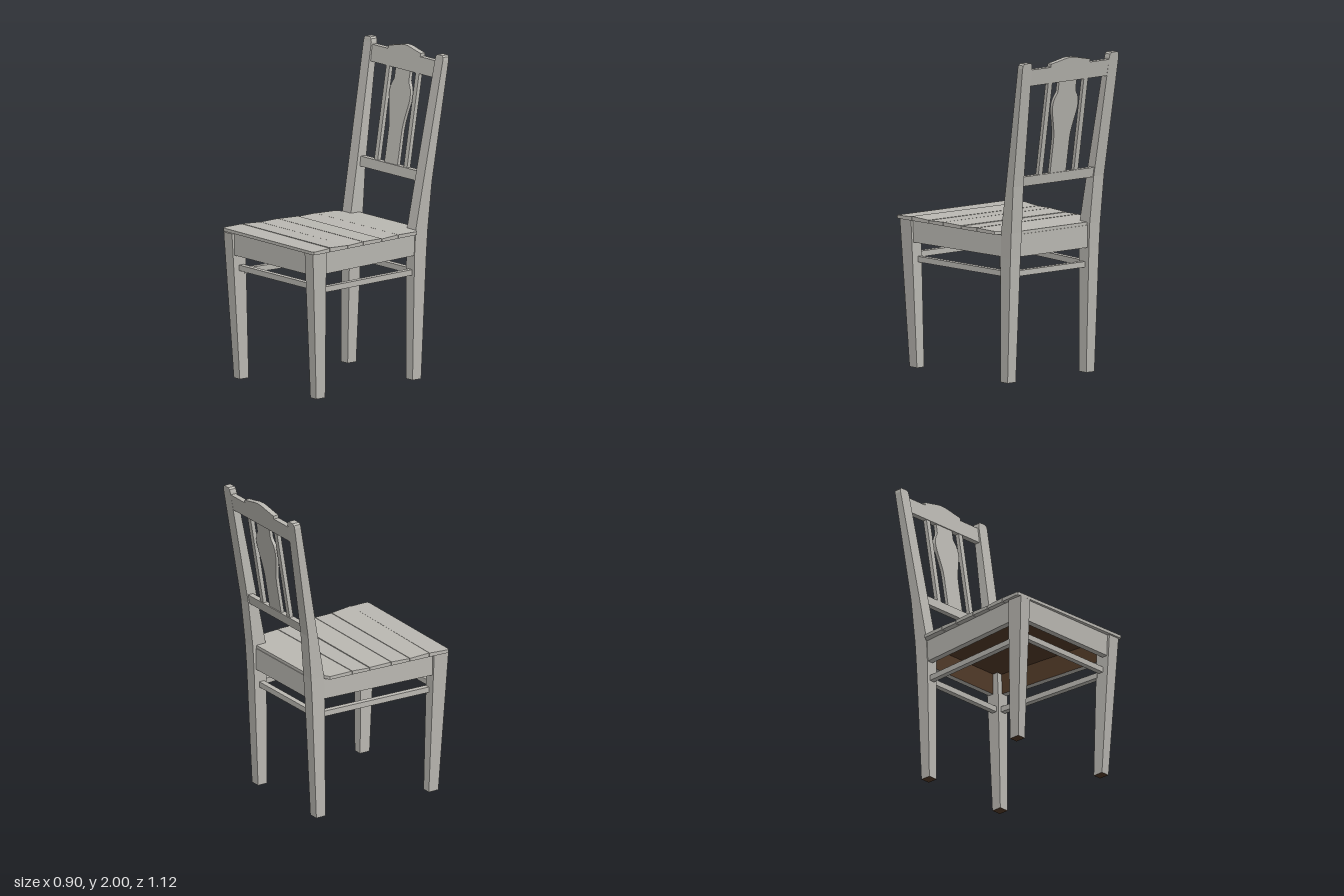
import * as THREE from 'three';
import { toCreasedNormals } from 'three/addons/utils/BufferGeometryUtils.js';

const paint = new THREE.MeshStandardMaterial({ color: 0xbab8b2 });
paint.name = 'greyPaint';
const wood = new THREE.MeshStandardMaterial({ color: 0x523a28 });
wood.name = 'bareWood';

// Joins rings of [x, y, z] corners, anticlockwise from above and listed bottom to top.
// Side number woodSide, and the bottom if woodBase is set, are left as bare wood.
function loft(name, rings, { woodSide = -1, woodBase = false } = {}) {
  const painted = [], bare = [];
  const n = rings[0].length, last = rings[rings.length - 1];
  for (let r = 0; r < rings.length - 1; r++) {
    for (let i = 0; i < n; i++) {
      const j = (i + 1) % n, lo = rings[r], hi = rings[r + 1];
      (i === woodSide ? bare : painted).push(...lo[i], ...lo[j], ...hi[j], ...lo[i], ...hi[j], ...hi[i]);
    }
  }
  for (let i = 1; i < n - 1; i++) {
    painted.push(...last[0], ...last[i], ...last[i + 1]);
    (woodBase ? bare : painted).push(...rings[0][0], ...rings[0][i + 1], ...rings[0][i]);
  }
  const g = new THREE.BufferGeometry();
  g.setAttribute('position', new THREE.Float32BufferAttribute([...painted, ...bare], 3));
  g.addGroup(0, painted.length / 3, 0);
  if (bare.length) g.addGroup(painted.length / 3, bare.length / 3, 1);
  g.computeVertexNormals();
  const mesh = new THREE.Mesh(g, [paint, wood]);
  mesh.name = name;
  return mesh;
}

// Rectangle ring at height y
const rect = (y, x0, x1, z0, z1) => [[x0, y, z1], [x1, y, z1], [x1, y, z0], [x0, y, z0]];
// Same plan outline at two heights
const prism = (plan, y0, y1) => [y0, y1].map((y) => plan.map(([x, z]) => [x, y, z]));
const mirror = (rings) => rings.map((ring) => ring.map(([x, y, z]) => [-x, y, z]).reverse());

// Backrest parts: cut from a flat board, then leaned back
function board(name, points, thickness) {
  const shape = new THREE.Shape(points.map(([x, y]) => new THREE.Vector2(x, y)));
  const g = new THREE.ExtrudeGeometry(shape, { depth: thickness, bevelEnabled: false });
  const p = g.attributes.position;
  for (let i = 0; i < p.count; i++) {
    p.setZ(i, p.getZ(i) - thickness / 2 - 0.415 - (p.getY(i) - 1.215) * 0.164);
  }
  const mesh = new THREE.Mesh(toCreasedNormals(g, 0.5), paint);
  mesh.name = name;
  return mesh;
}
const strip = (x0, x1, y0, y1) => [[x0, y0], [x1, y0], [x1, y1], [x0, y1]];

export function createModel() {
  const chair = new THREE.Group();
  chair.name = 'chair';
  const pair = (name, rings, options) => {
    chair.add(loft('left' + name, rings, options), loft('right' + name, mirror(rings), options));
  };

  // Legs; the back ones run up into the backrest posts
  pair('FrontLeg', [
    rect(0, 0.34, 0.397, 0.425, 0.495),
    rect(0.91, 0.35, 0.43, 0.442, 0.548),
  ], { woodBase: true });
  pair('BackPost', [
    rect(0, 0.28, 0.345, -0.37, -0.303),
    rect(0.77, 0.272, 0.352, -0.405, -0.313),
    rect(0.93, 0.27, 0.354, -0.415, -0.32),
    rect(1.22, 0.279, 0.361, -0.442, -0.373),
    rect(1.965, 0.307, 0.382, -0.556, -0.51),
    rect(1.985, 0.311, 0.379, -0.559, -0.513),
    rect(1.995, 0.323, 0.367, -0.56, -0.516),
  ], { woodBase: true });

  // Aprons under the seat, bare on the inside
  pair('Apron', prism([[0.375, 0.46], [0.415, 0.46], [0.346, -0.33], [0.306, -0.33]], 0.775, 0.913), { woodSide: 3 });
  chair.add(loft('frontApron', prism([[-0.36, 0.53], [0.36, 0.53], [0.36, 0.49], [-0.36, 0.49]], 0.775, 0.913), { woodSide: 2 }));
  chair.add(loft('backApron', prism([[-0.28, -0.355], [0.28, -0.355], [0.28, -0.392], [-0.28, -0.392]], 0.775, 0.913), { woodSide: 0 }));

  // Bare seat underside, seen between the aprons
  chair.add(loft('seatUnderside', prism([[-0.38, 0.5], [0.38, 0.5], [0.31, -0.36], [-0.31, -0.36]], 0.908, 0.914), { woodBase: true }));

  // Stretchers between the legs
  pair('Stretcher', prism([[0.345, 0.45], [0.38, 0.45], [0.33, -0.32], [0.295, -0.32]], 0.65, 0.685));
  chair.add(loft('frontStretcher', [rect(0.675, -0.355, 0.355, 0.46, 0.495), rect(0.71, -0.355, 0.355, 0.46, 0.495)]));
  chair.add(loft('backStretcher', [rect(0.65, -0.29, 0.29, -0.365, -0.33), rect(0.685, -0.29, 0.29, -0.365, -0.33)]));

  // Seat planks: slightly crooked joints, slightly uneven heights
  const edge = (z) => 0.39 + (z + 0.3) * 0.07;
  const joints = [[-0.32, -0.32], [-0.145, -0.145], [-0.021, -0.009], [0.132, 0.146], [0.263, 0.275], [0.4, 0.424], [0.545, 0.56]];
  const heights = [[0.932, 0.936], [0.937, 0.931], [0.934, 0.937], [0.937, 0.932], [0.933, 0.94], [0.938, 0.932]];
  const gap = 0.002;
  heights.forEach(([yBack, yFront], k) => {
    const [bl, br] = joints[k].map((z) => z + gap);
    const [fl, fr] = joints[k + 1].map((z) => z - gap);
    let plan = [[-edge(fl), fl], [edge(fr), fr], [edge(br), br], [-edge(bl), bl]];
    if (k === 0) {
      // back plank reaches between the posts
      plan = [plan[0], plan[1], [0.39, -0.3], [0.355, -0.32], [0.3, -0.388], [-0.3, -0.388], [-0.355, -0.32], [-0.39, -0.3]];
    } else if (k === 5) {
      // front plank has rounded corners
      plan = [[-0.434, fl], [0.434, fr], [0.446, fr - 0.005], [0.449, fr - 0.018], plan[2], plan[3], [-0.449, fl - 0.018], [-0.446, fl - 0.005]];
    }
    const rings = prism(plan, 0.913, 0.935);
    const zBack = k === 0 ? -0.388 : (bl + br) / 2, zFront = (fl + fr) / 2;
    rings[1].forEach((p) => { p[1] = THREE.MathUtils.mapLinear(p[2], zBack, zFront, yBack, yFront); });
    chair.add(loft('seatPlank' + (k + 1), rings));
  });

  // Backrest rails, slats and vase-shaped splat
  const crest = [[-0.315, 1.85], [0.315, 1.85], [0.315, 1.952], [0.155, 1.952], [0.155, 1.972], [0.09, 1.985], [0.035, 1.997],
    [0, 2], [-0.035, 1.997], [-0.09, 1.985], [-0.155, 1.972], [-0.155, 1.952], [-0.315, 1.952]];
  chair.add(board('crestRail', crest, 0.036));
  chair.add(board('lowerBackRail', strip(-0.29, 0.29, 1.215, 1.275), 0.036));
  chair.add(board('leftSlat', strip(0.125, 0.158, 1.27, 1.855), 0.026));
  chair.add(board('rightSlat', strip(-0.158, -0.125, 1.27, 1.855), 0.026));

  const side = new THREE.SplineCurve([[0.063, 1.27], [0.063, 1.42], [0.065, 1.51], [0.08, 1.59], [0.097, 1.66], [0.1, 1.71], [0.09, 1.75], [0.075, 1.775]]
    .map(([x, y]) => new THREE.Vector2(x, y))).getPoints(24).map((v) => [v.x, v.y]);
  side.push([0.07, 1.79], [0.07, 1.855]);
  chair.add(board('splat', [...side, ...side.map(([x, y]) => [-x, y]).reverse()], 0.022));

  return chair;
}
